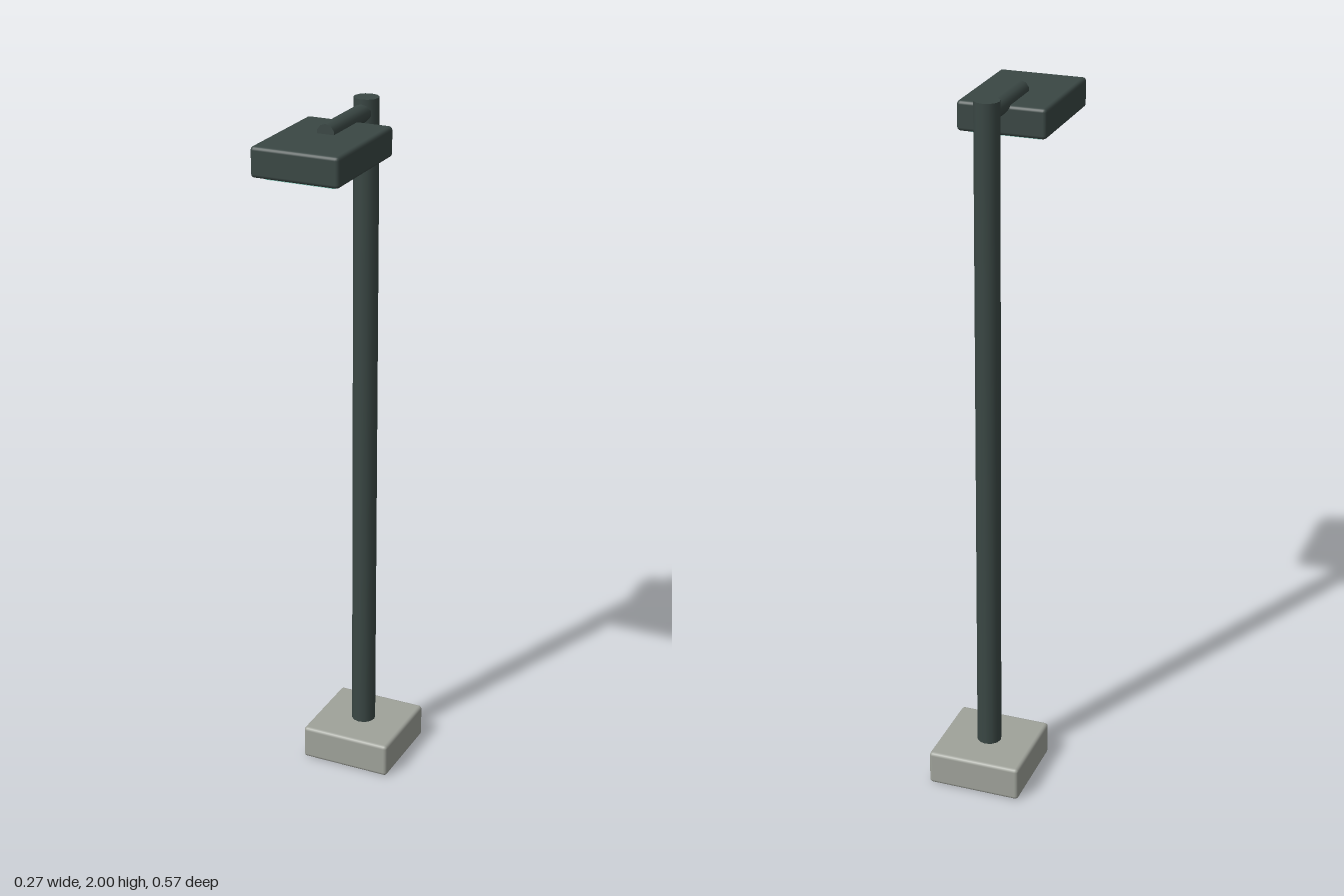
import * as THREE from 'three';
import { RoundedBoxGeometry } from 'three/addons/geometries/RoundedBoxGeometry.js';

export function createModel() {
  const group = new THREE.Group();
  const metal = new THREE.MeshStandardMaterial({ color: 0x3a4744 });
  const concrete = new THREE.MeshStandardMaterial({ color: 0x9fa29a });
  const glass = new THREE.MeshStandardMaterial({ color: 0x86c8bc });
  const poleZ = -0.151;

  const add = (name, geometry, material, y, z) => {
    const mesh = new THREE.Mesh(geometry, material);
    mesh.name = name;
    mesh.position.set(0, y, z);
    group.add(mesh);
  };

  // Concrete footing
  add('base', new RoundedBoxGeometry(0.27, 0.1, 0.27, 2, 0.01), concrete, 0.05, poleZ);

  // Upright pole
  add('pole', new THREE.CylinderGeometry(0.035, 0.035, 1.92, 12), metal, 1.04, poleZ);

  // Horizontal arm from the pole to the lamp head
  const arm = new THREE.CylinderGeometry(0.025, 0.025, 0.25, 10).rotateX(Math.PI / 2);
  add('arm', arm, metal, 1.962, -0.025);

  // Flat lamp head with the lens below it
  add('lampHead', new RoundedBoxGeometry(0.248, 0.082, 0.334, 2, 0.01), metal, 1.919, 0.117);
  add('lens', new THREE.BoxGeometry(0.196, 0.02, 0.265), glass, 1.878, 0.118);

  return group;
}
